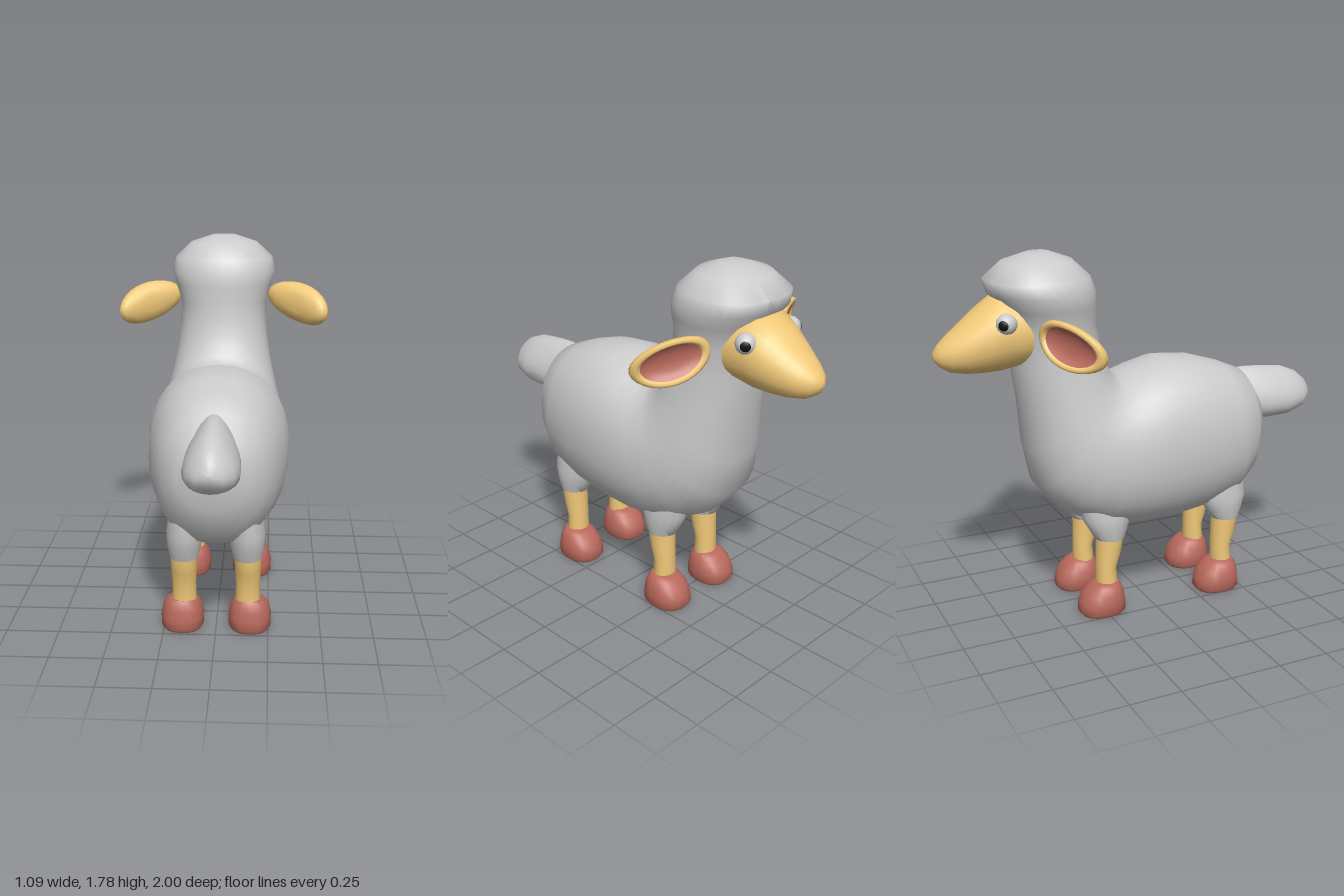
import * as THREE from 'three';
import { mergeVertices, toCreasedNormals } from 'three/addons/utils/BufferGeometryUtils.js';

const WOOL = new THREE.MeshStandardMaterial({ color: 0xcccccc });
const SKIN = new THREE.MeshStandardMaterial({ color: 0xf0c878 });
const PINK = new THREE.MeshStandardMaterial({ color: 0xb9695c });
const BLACK = new THREE.MeshStandardMaterial({ color: 0x111111 });

function add(parent, name, geometry, material) {
  const mesh = new THREE.Mesh(geometry, material);
  mesh.name = name;
  parent.add(mesh);
  return mesh;
}

// Closed skin over cross-sections [zA, yA, zB, yB, halfWidth]: A is the upper or
// rear end of the section, B the lower or front end. Taper narrows the A side.
function loft(sections, { x = 0, dz = 0, sides = 24, power = 2, taper = 0, crease = 1.1 } = {}) {
  const pos = [], index = [];
  const round = v => Math.sign(v) * Math.abs(v) ** (2 / power);
  for (const [zA, yA, zB, yB, w] of sections) {
    for (let j = 0; j < sides; j++) {
      const t = j / sides * Math.PI * 2;
      const c = round(Math.cos(t)), s = round(Math.sin(t));
      pos.push(x + w * s * (1 - taper * c),
        (yA + yB) / 2 + (yA - yB) / 2 * c,
        dz + (zA + zB) / 2 + (zA - zB) / 2 * c);
    }
  }
  const last = (sections.length - 1) * sides;
  for (const [zA, yA, zB, yB] of [sections[0], sections.at(-1)]) {
    pos.push(x, (yA + yB) / 2, dz + (zA + zB) / 2);
  }
  const cap = last + sides;
  for (let j = 0; j < sides; j++) {
    const k = (j + 1) % sides;
    for (let r = 0; r < last; r += sides) {
      index.push(r + j, r + k, r + sides + j, r + k, r + sides + k, r + sides + j);
    }
    index.push(k, j, cap, last + j, last + k, cap + 1);
  }
  const g = new THREE.BufferGeometry();
  g.setAttribute('position', new THREE.Float32BufferAttribute(pos, 3));
  g.setIndex(index);
  return toCreasedNormals(g, crease);
}

// Body, neck and woolly head in one sweep from rump to crown
const BODY = [
  [0.66, 0.90, 0.66, 0.80, 0.05], [0.635, 1.02, 0.64, 0.68, 0.17],
  [0.57, 1.12, 0.59, 0.56, 0.235], [0.45, 1.17, 0.50, 0.47, 0.285],
  [0.30, 1.215, 0.30, 0.42, 0.325], [0.12, 1.23, 0.12, 0.40, 0.343],
  [0.00, 1.20, -0.05, 0.40, 0.343], [-0.07, 1.175, -0.25, 0.43, 0.335],
  [-0.12, 1.17, -0.42, 0.52, 0.315], [-0.16, 1.20, -0.54, 0.66, 0.29],
  [-0.185, 1.25, -0.58, 0.85, 0.265], [-0.205, 1.30, -0.60, 1.07, 0.24],
  [-0.22, 1.38, -0.63, 1.26, 0.222], [-0.23, 1.46, -0.64, 1.42, 0.218],
  [-0.23, 1.54, -0.665, 1.53, 0.245], [-0.235, 1.60, -0.73, 1.60, 0.265],
  [-0.26, 1.67, -0.745, 1.66, 0.25], [-0.34, 1.745, -0.66, 1.735, 0.17],
  [-0.44, 1.78, -0.55, 1.775, 0.06],
];

const FACE = [
  [-0.58, 1.57, -0.58, 1.27, 0.17], [-0.70, 1.605, -0.70, 1.25, 0.18],
  [-0.78, 1.55, -0.78, 1.247, 0.157], [-0.86, 1.485, -0.86, 1.25, 0.127],
  [-0.93, 1.43, -0.93, 1.263, 0.093], [-0.975, 1.39, -0.975, 1.29, 0.058],
  [-1.0, 1.355, -1.0, 1.325, 0.015],
];

const TAIL = [
  [1.0, 0.98, 1.0, 0.95, 0.015], [0.975, 1.02, 0.98, 0.91, 0.06],
  [0.92, 1.065, 0.93, 0.87, 0.1], [0.83, 1.10, 0.84, 0.84, 0.12],
  [0.70, 1.115, 0.70, 0.835, 0.117], [0.60, 1.12, 0.60, 0.85, 0.1],
  [0.52, 1.11, 0.52, 0.90, 0.07],
];

const SLEEVE = [
  [0.505, 0.375, 0.355, 0.385, 0.069], [0.525, 0.43, 0.33, 0.43, 0.08],
  [0.545, 0.50, 0.29, 0.50, 0.085], [0.54, 0.60, 0.28, 0.60, 0.07],
];
const LEG = [
  [0.468, 0.13, 0.36, 0.13, 0.06], [0.462, 0.23, 0.36, 0.23, 0.057],
  [0.487, 0.30, 0.361, 0.30, 0.061], [0.498, 0.36, 0.362, 0.36, 0.063],
  [0.50, 0.45, 0.362, 0.45, 0.063],
];
const HOOF = [
  [0.49, 0, 0.275, 0, 0.092], [0.50, 0.015, 0.264, 0.015, 0.102],
  [0.497, 0.06, 0.268, 0.06, 0.103], [0.49, 0.105, 0.29, 0.105, 0.096],
  [0.48, 0.14, 0.325, 0.14, 0.08], [0.468, 0.156, 0.355, 0.156, 0.063],
];

// Elliptical dish turned from a profile, then curved backward along its length
function earPart(profile) {
  const g = new THREE.LatheGeometry(profile.map(p => new THREE.Vector2(...p)), 28);
  g.scale(0.185, 1, 0.102);
  const p = g.attributes.position;
  for (let i = 0; i < p.count; i++) p.setY(i, p.getY(i) - 1.1 * p.getX(i) ** 2);
  g.deleteAttribute('uv');
  g.deleteAttribute('normal');
  const merged = mergeVertices(g, 1e-5);
  merged.computeVertexNormals();
  return merged;
}

function makeEar(side) {
  const ear = new THREE.Group();
  add(ear, 'earShell', earPart([[0, -0.045], [0.4, -0.042], [0.7, -0.033], [0.9, -0.014],
    [1, 0.012], [0.97, 0.032], [0.87, 0.038], [0.78, 0.03], [0.74, 0.015]]), SKIN);
  add(ear, 'innerEar', earPart([[0.77, 0.022], [0.6, 0.006], [0.35, -0.004], [0, -0.008]]), PINK);
  const along = new THREE.Vector3(0.31 * side, -0.1, 0.19).normalize();
  const facing = new THREE.Vector3(0.52 * side, 0, -0.85);
  facing.addScaledVector(along, -facing.dot(along)).normalize();
  const across = along.clone().cross(facing);
  ear.applyMatrix4(new THREE.Matrix4().makeBasis(along, facing, across)
    .setPosition(0.395 * side, 1.42, -0.495));
  return ear;
}

function makeEye(side) {
  const eye = new THREE.Group();
  add(eye, 'eyeball', new THREE.SphereGeometry(0.048, 20, 14), WOOL);
  // Pupil is a small cap on the surface of the eyeball
  const pupil = add(eye, 'pupil', new THREE.SphereGeometry(0.0495, 16, 5, 0, Math.PI * 2, 0, 0.5), BLACK);
  pupil.quaternion.setFromUnitVectors(new THREE.Vector3(0, 1, 0),
    new THREE.Vector3(0.8 * side, 0.02, -0.6).normalize());
  eye.position.set(0.152 * side, 1.49, -0.7);
  return eye;
}

export function createModel() {
  const sheep = new THREE.Group();
  sheep.name = 'sheep';
  add(sheep, 'body', loft(BODY, { sides: 32, power: 2.2 }), WOOL);
  add(sheep, 'face', loft(FACE, { power: 2.1 }), SKIN);
  add(sheep, 'tail', loft(TAIL, { taper: 0.35 }), WOOL);

  for (const side of [1, -1]) {
    const label = side > 0 ? 'left' : 'right';
    const ear = makeEar(side);
    ear.name = label + 'Ear';
    const eye = makeEye(side);
    eye.name = label + 'Eye';
    sheep.add(ear, eye);

    // Rear legs, then front legs further toward the face
    for (const [end, dz] of [['Rear', 0], ['Front', -0.645]]) {
      const leg = new THREE.Group();
      leg.name = label + end + 'Leg';
      add(leg, 'woolCuff', loft(SLEEVE, { x: 0.15 * side, dz, sides: 16 }), WOOL);
      add(leg, 'shin', loft(LEG, { x: 0.152 * side, dz, sides: 16 }), SKIN);
      add(leg, 'hoof', loft(HOOF, { x: 0.162 * side, dz, sides: 18, power: 2.4, crease: 0.8 }), PINK);
      sheep.add(leg);
    }
  }
  return sheep;
}
